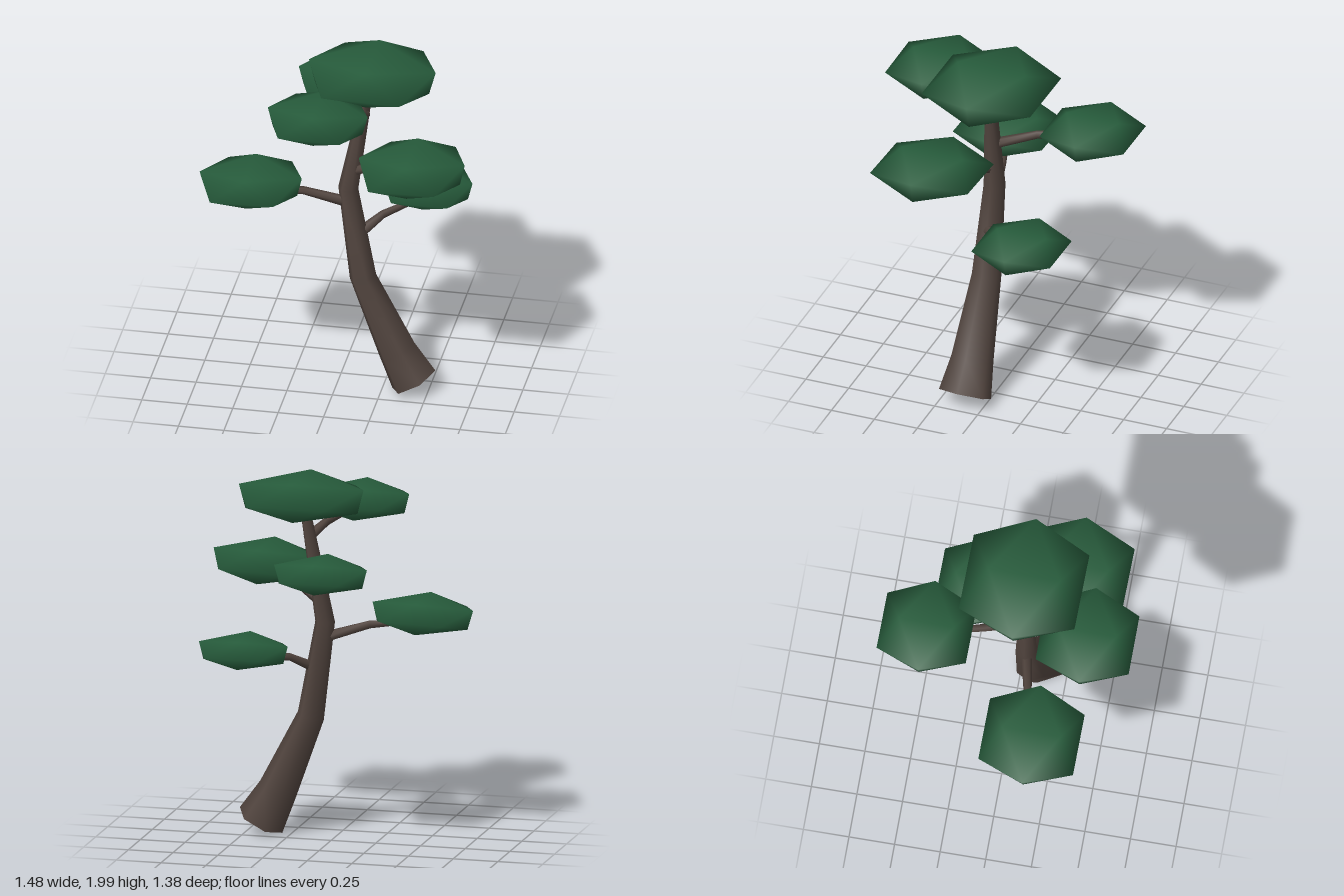
import * as THREE from 'three';
import { mergeVertices } from 'three/addons/utils/BufferGeometryUtils.js';

const SIDES = 6;

// Six-sided limb through rings [x, y, z, radius], smooth along its sides, with flat end caps
function limbGeometry(rings, ref, stretch = 1) {
  const centres = rings.map(([x, y, z]) => new THREE.Vector3(x, y, z));
  const pos = [], idx = [];
  const last = rings.length - 1;
  const loops = rings.map((ring, i) => {
    const t = centres[Math.min(i + 1, last)].clone().sub(centres[Math.max(i - 1, 0)]).normalize();
    const u = ref.clone().cross(t).normalize();
    const w = t.clone().cross(u);
    return Array.from({ length: SIDES }, (_, j) => {
      const a = (j / SIDES) * Math.PI * 2;
      return centres[i].clone()
        .addScaledVector(u, Math.cos(a) * ring[3])
        .addScaledVector(w, Math.sin(a) * ring[3] * stretch);
    });
  });
  loops.forEach((loop, i) => {
    loop.forEach((p, j) => {
      pos.push(p.x, p.y, p.z);
      if (i === last) return;
      const a = i * SIDES + j, b = i * SIDES + (j + 1) % SIDES;
      idx.push(a, b, a + SIDES, b, b + SIDES, a + SIDES);
    });
  });
  // caps with their own vertices so the rims stay sharp
  for (const [loop, start] of [[loops[0], true], [loops[last], false]]) {
    const base = pos.length / 3;
    loop.forEach((p) => pos.push(p.x, p.y, p.z));
    for (let j = 1; j < SIDES - 1; j++) {
      if (start) idx.push(base, base + j + 1, base + j);
      else idx.push(base, base + j, base + j + 1);
    }
  }
  const g = new THREE.BufferGeometry();
  g.setAttribute('position', new THREE.Float32BufferAttribute(pos, 3));
  g.setIndex(idx);
  g.computeVertexNormals();
  return g;
}

// Flattened icosahedron of half-size 1, narrower towards its underside
function padGeometry() {
  let g = new THREE.IcosahedronGeometry(1, 0);
  g.deleteAttribute('normal');
  g.deleteAttribute('uv');
  g.rotateZ(Math.PI / 2);
  g = mergeVertices(g, 1e-3);
  const p = g.attributes.position;
  const size = 0.8507; // largest coordinate of a unit icosahedron
  for (let i = 0; i < p.count; i++) {
    let x = p.getX(i) / size, y = p.getY(i) / size, z = p.getZ(i) / size;
    if (y < -0.1) { x *= 0.9; z *= 0.9; }
    if (Math.abs(x) > 0.8) y -= 0.13; // side corners droop a little
    p.setXYZ(i, x, y, z);
  }
  return g;
}

export function createModel() {
  const tree = new THREE.Group();
  tree.name = 'tree';
  const bark = new THREE.MeshStandardMaterial({ color: 0x51443e });
  bark.name = 'bark brown';
  const leaf = new THREE.MeshStandardMaterial({ color: 0x275c3c });
  leaf.name = 'leaf green';

  const add = (name, geometry, material) => {
    const mesh = new THREE.Mesh(geometry, material);
    mesh.name = name;
    tree.add(mesh);
  };

  // Leaning trunk
  add('trunk', limbGeometry([
    [0.42, 0.07, 0.105, 0.135],
    [0.325, 0.245, 0.1, 0.108],
    [0.138, 0.67, 0.093, 0.075],
    [0.055, 1.2, 0.08, 0.055],
    [0.165, 1.84, 0.062, 0.027],
  ], new THREE.Vector3(0, 0, 1), 1.1), bark);

  // Branches, thinning from the trunk into the pads
  const branches = {
    leftLowBranch: [[0.14, 0.95, 0.08], [0.23, 1.01, 0.0], [0.37, 1.035, -0.13]],
    rightLowBranch: [[0.05, 1.115, 0.085], [-0.18, 1.185, 0.13], [-0.36, 1.2, 0.18]],
    leftHighBranch: [[0.08, 1.31, 0.08], [0.2, 1.37, 0.14], [0.36, 1.405, 0.21]],
    backBranch: [[0.1, 1.48, 0.07], [0.01, 1.535, -0.15], [-0.04, 1.55, -0.32]],
    frontBranch: [[0.15, 1.66, 0.07], [0.08, 1.725, 0.2], [0.0, 1.76, 0.34]],
  };
  const radii = [0.03, 0.022, 0.016];
  for (const [name, pts] of Object.entries(branches)) {
    add(name, limbGeometry(pts.map((p, i) => [...p, radii[i]]), new THREE.Vector3(0, 1, 0)), bark);
  }

  // Foliage pads: centre, half-size, tilt about z, turn about y
  const pads = [
    ['crownPad', [0.18, 1.892, 0.048], [0.35, 0.107, 0.318], -0.01, -0.015],
    ['frontPad', [-0.045, 1.803, 0.435], [0.275, 0.087, 0.255], -0.01, 0],
    ['backPad', [-0.06, 1.583, -0.445], [0.26, 0.083, 0.245], 0, -0.01],
    ['leftHighPad', [0.445, 1.465, 0.288], [0.293, 0.095, 0.286], 0.03, -0.02],
    ['rightLowPad', [-0.458, 1.245, 0.2], [0.282, 0.086, 0.26], 0.03, -0.01],
    ['leftLowPad', [0.43, 1.083, -0.228], [0.249, 0.078, 0.23], 0, -0.01],
  ];
  for (const [name, centre, half, tilt, turn] of pads) {
    const g = padGeometry();
    g.scale(...half).rotateZ(tilt).rotateY(turn).translate(...centre);
    g.computeVertexNormals();
    add(name, g, leaf);
  }
  return tree;
}
